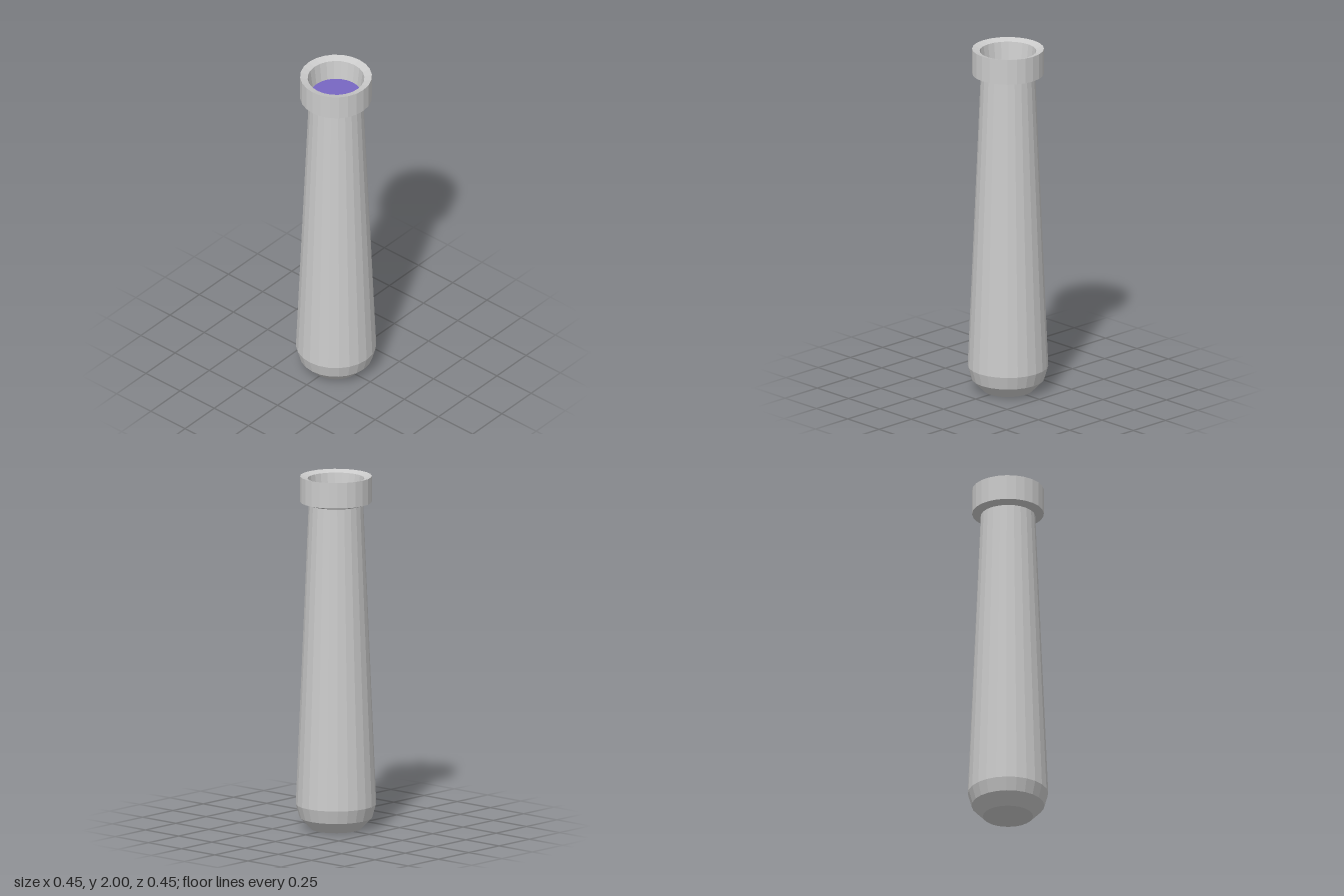
import * as THREE from 'three';

const SIDES = 24;

// Faceted turned part from [radius, height] pairs, listed from bottom to top on the outside
function turned(name, profile, color = 0xcccccc) {
  const points = profile.map(([r, y]) => new THREE.Vector2(r, y));
  const mesh = new THREE.Mesh(
    new THREE.LatheGeometry(points, SIDES),
    new THREE.MeshStandardMaterial({ color, flatShading: true })
  );
  mesh.name = name;
  return mesh;
}

export function createModel() {
  const model = new THREE.Group();
  model.name = 'taperedHandle';

  // Tapered shaft with a chamfered, closed foot
  model.add(turned('shaft', [[0, 0], [0.14, 0], [0.203, 0.065], [0.224, 0.14], [0.152, 1.84]]));

  // Collar: bevelled underside, straight side, dished rim and recess wall
  model.add(turned('collar', [
    [0.152, 1.84], [0.2, 1.855], [0.2, 2], [0.158, 1.987], [0.143, 1.875],
  ]));

  // Coloured disc at the bottom of the recess
  const floor = new THREE.Mesh(
    new THREE.CircleGeometry(0.143, SIDES),
    new THREE.MeshStandardMaterial({ color: 0x7866c2 })
  );
  floor.rotation.x = -Math.PI / 2;
  floor.position.y = 1.875;
  floor.name = 'recessFloor';
  model.add(floor);

  return model;
}
